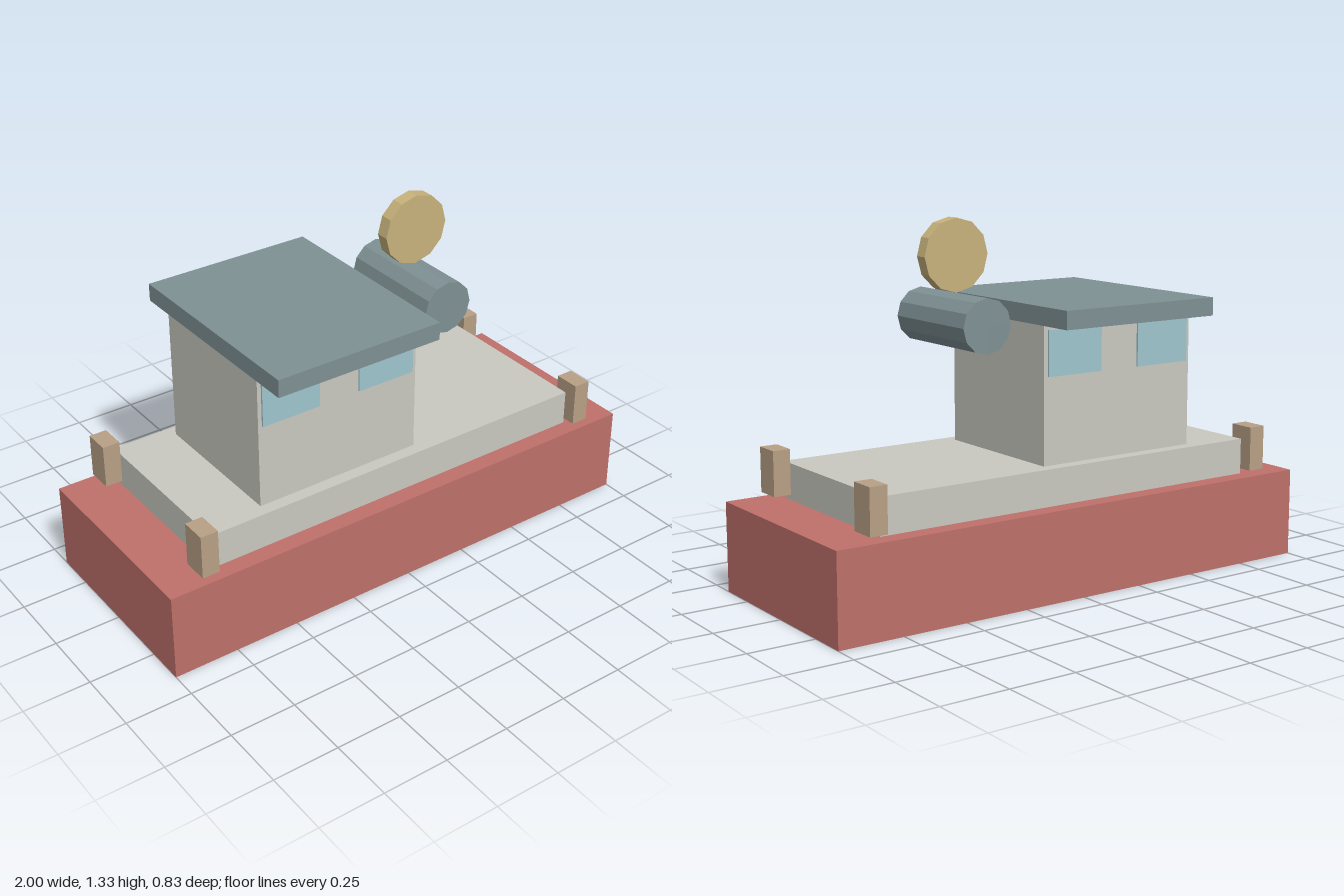
import * as THREE from 'three';

const paint = (name, color) => {
  const m = new THREE.MeshStandardMaterial({ color, flatShading: true });
  m.name = name;
  return m;
};

export function createModel() {
  const red = paint('hullRed', 0xbf706a);
  const cream = paint('deckCream', 0xc9c8c0);
  const slate = paint('slateGrey', 0x7f9194);
  const glass = paint('windowBlue', 0x9fc6ce);
  const brass = paint('brass', 0xc9b37c);
  const wood = paint('postWood', 0xb9a086);

  const model = new THREE.Group();
  model.name = 'boat';

  const add = (name, geometry, material, x, y, z) => {
    const mesh = new THREE.Mesh(geometry, material);
    mesh.name = name;
    mesh.position.set(x, y, z);
    model.add(mesh);
  };
  // box given by its extents along each axis
  const box = (name, material, [x0, x1], [y0, y1], [z0, z1]) =>
    add(name, new THREE.BoxGeometry(x1 - x0, y1 - y0, z1 - z0), material,
      (x0 + x1) / 2, (y0 + y1) / 2, (z0 + z1) / 2);
  // twelve-sided drum lying along z
  const drum = (name, material, radius, y, z0, z1) =>
    add(name, new THREE.CylinderGeometry(radius, radius, z1 - z0, 12).rotateX(Math.PI / 2),
      material, 0.267, y, (z0 + z1) / 2);

  // hull, deck and cabin
  box('hull', red, [-1, 1], [0, 0.333], [-0.4, 0.4]);
  box('deck', cream, [-0.8, 0.8], [0.333, 0.468], [-0.333, 0.333]);
  box('cabin', cream, [-0.567, 0.098], [0.468, 0.968], [-0.285, 0.285]);
  box('roof', slate, [-0.567, 0.098], [0.968, 1.035], [-0.416, 0.416]);

  // two thin windows on each long side of the cabin
  for (const side of [-1, 1]) {
    for (const x of [-0.435, -0.035]) {
      add('window', new THREE.BoxGeometry(0.233, 0.166, 0.008), glass, x, 0.87, side * 0.288);
    }
  }

  // mooring posts at the deck corners
  for (const sx of [-1, 1]) {
    for (const sz of [-1, 1]) {
      add('post', new THREE.BoxGeometry(0.067, 0.167, 0.1), wood, sx * 0.833, 0.436, sz * 0.335);
    }
  }

  // funnel drum with a brass disc above it
  drum('funnel', slate, 0.1, 0.968, -0.183, 0.25);
  drum('disc', brass, 0.133, 1.201, 0.009, 0.059);

  return model;
}
